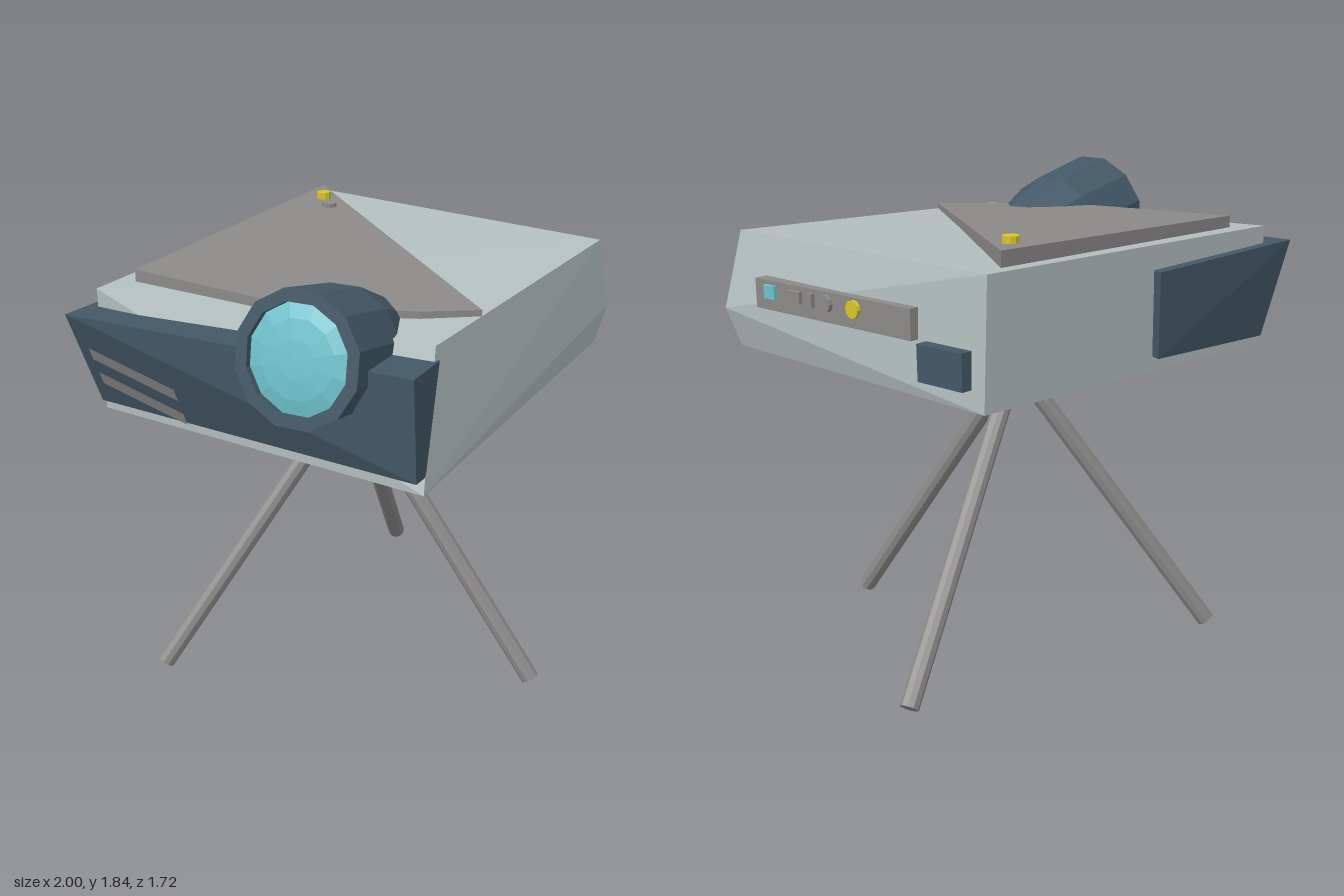
import * as THREE from 'three';
import { ConvexGeometry } from 'three/addons/geometries/ConvexGeometry.js';

const V = (x, y, z) => new THREE.Vector3(x, y, z);

function material(name, color, side = THREE.FrontSide) {
  const m = new THREE.MeshStandardMaterial({ color, side });
  m.name = name;
  return m;
}

// Faceted normals for the low-poly look
function flat(geometry) {
  const g = geometry.index ? geometry.toNonIndexed() : geometry;
  g.computeVertexNormals();
  return g;
}

const hull = (points) => new ConvexGeometry(points.map((p) => V(...p)));

export function createModel() {
  const model = new THREE.Group();
  model.name = 'projector';
  const shell = material('paleShell', 0xb4bfc0);
  const grey = material('grey', 0x8c8a89);
  const dark = material('darkSlate', 0x435867);
  const cyan = material('cyanGlass', 0x6fc3cd);
  const yellow = material('yellow', 0xd9c52a);
  const vent = material('ventGrey', 0x8c8a89, THREE.DoubleSide);

  function add(name, geometry, mat, parent = model) {
    const mesh = new THREE.Mesh(geometry, mat);
    mesh.name = name;
    parent.add(mesh);
    return mesh;
  }

  function rod(name, a, b, radius, mat) {
    const dir = b.clone().sub(a);
    const mesh = add(name, flat(new THREE.CylinderGeometry(radius, radius, dir.length(), 10)), mat);
    mesh.position.copy(a).add(b).multiplyScalar(0.5);
    mesh.quaternion.setFromUnitVectors(V(0, 1, 0), dir.normalize());
    return mesh;
  }

  // Skewed main housing, with a slight bulge at the front right corner
  add('housing', hull([
    [-0.44, 1.64, 0.78], [-0.57, 1.16, 0.85],
    [0.92, 1.71, 0.49], [1.0, 1.42, 0.49], [0.95, 1.27, 0.47],
    [0.72, 1.75, -0.85], [0.74, 1.29, -0.86],
    [-0.86, 1.68, -0.49], [-0.84, 1.21, -0.5],
  ]), shell);

  // Dark cladding wrapped round the rear left corner
  const B = V(-1, 1.61, -0.5), b = V(-0.85, 1.24, -0.51), c = V(-0.62, 1.22, 0.86);
  add('sideCladding', hull([
    B.toArray(), b.toArray(), c.toArray(), [-0.64, 1.59, 0.86],
    [-0.43, 1.59, 0.79], [-0.55, 1.22, 0.84],
    [-0.14, 1.62, -0.7], [-0.14, 1.3, -0.7],
  ]), dark);

  // Slanted vents lying on the cladding's side
  const down = b.clone().sub(B), along = c.clone().sub(B);
  const out = down.clone().cross(along).normalize().multiplyScalar(0.006);
  if (out.x > 0) out.negate();
  const onSide = (s, t) => B.clone().addScaledVector(down, s).addScaledVector(along, t).add(out);
  for (const s of [0.3, 0.58]) {
    const q = [onSide(s, 0.04), onSide(s + 0.13, 0.04), onSide(s + 0.13, 0.3), onSide(s, 0.3)];
    const g = new THREE.BufferGeometry().setFromPoints([q[0], q[1], q[2], q[0], q[2], q[3]]);
    g.computeVertexNormals();
    add('vent', g, vent);
  }

  // Sloping wedge plate on top
  const plateY = (x, z) => 1.73 + 0.038 * (x + 0.71) - 0.063 * (z + 0.45);
  const outline = [[-0.71, -0.45], [0.61, -0.77], [-0.11, 0.71], [-0.28, 0.57], [-0.56, 0.22]];
  add('topPlate', hull(outline.flatMap(([x, z]) =>
    [[x, plateY(x, z), z], [x, plateY(x, z) - 0.065, z]])), grey);

  // Round knobs on the top plate
  for (const [x, z, mat] of [[0.47, -0.63, yellow], [0.4, -0.53, grey]]) {
    const y = plateY(x, z);
    rod('topKnob', V(x, y - 0.01, z), V(x, y + (mat === yellow ? 0.027 : 0.014), z), 0.03, mat);
  }

  // Lens barrel, its tail sinking into the housing
  const lens = new THREE.Group();
  lens.name = 'lens';
  lens.position.set(-0.81, 1.615, 0.495);
  lens.quaternion.setFromUnitVectors(V(0, 1, 0), V(-0.95, 0.15, 0.26).normalize());
  model.add(lens);
  const profile = [[0, -0.68], [0.085, -0.68], [0.17, -0.53], [0.23, -0.31], [0.24, 0], [0.195, 0], [0.195, -0.03]];
  add('lensBarrel', flat(new THREE.LatheGeometry(
    profile.map(([r, y]) => new THREE.Vector2(r, y)), 12)), dark, lens);
  const glass = [[0.197, -0.025], [0.14, -0.008], [0.07, 0], [0, 0.002]];
  add('lensGlass', flat(new THREE.LatheGeometry(
    glass.map(([r, y]) => new THREE.Vector2(r, y)), 12)), cyan, lens);

  // Control strip on the side: local x points outwards
  const panel = new THREE.Group();
  panel.name = 'controlPanel';
  panel.position.set(0.872, 1.53, -0.14);
  panel.rotation.set(0.025, 0.19, 0, 'YXZ');
  model.add(panel);
  add('controlStrip', new THREE.BoxGeometry(0.06, 0.11, 0.83), grey, panel);
  for (const [z, w, h, mat] of [[0.32, 0.06, 0.05, cyan], [0.18, 0.065, 0.045, grey], [0.095, 0.032, 0.05, grey]]) {
    add('squareButton', new THREE.BoxGeometry(0.03, h, w), mat, panel).position.set(0.03, 0.015, z);
  }
  for (const [z, mat] of [[0.012, grey], [-0.135, yellow]]) {
    const knob = add('roundButton', flat(new THREE.CylinderGeometry(0.032, 0.032, 0.03, 12)), mat, panel);
    knob.rotation.z = -Math.PI / 2;
    knob.position.set(0.03, 0.015, z);
  }

  // Dark socket box near the rear of that side
  const socket = add('socketBox', new THREE.BoxGeometry(0.07, 0.13, 0.21), dark);
  socket.position.set(0.775, 1.425, -0.695);
  socket.rotation.set(0.025, 0.19, 0, 'YXZ');

  // Tripod: neck, ball joint and three splayed legs
  rod('tripodNeck', V(0.04, 1.19, -0.06), V(0.04, 1.26, -0.06), 0.065, grey);
  const ball = add('tripodJoint', flat(new THREE.SphereGeometry(0.06, 10, 6)), grey);
  ball.position.set(0.04, 1.165, -0.06);
  for (const foot of [V(0.31, 0.023, 0.69), V(0.85, 0.12, -0.53), V(-0.64, 0.04, -0.48)]) {
    rod('tripodLeg', V(0.04, 1.17, -0.06), foot, 0.037, grey);
  }
  return model;
}
